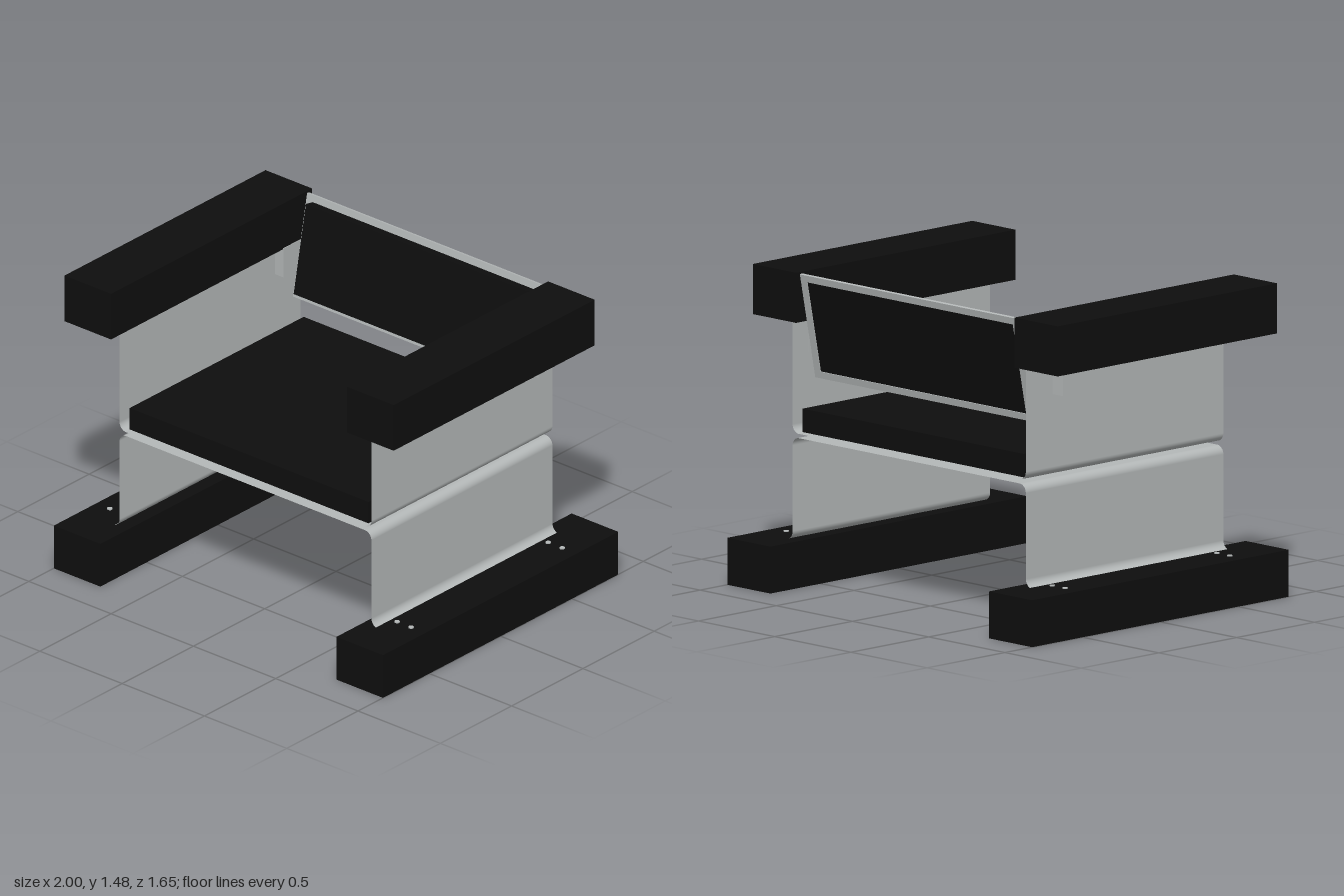
import * as THREE from 'three';

export function createModel() {
  const model = new THREE.Group();
  model.name = 'armchair';
  const black = new THREE.MeshStandardMaterial({ color: 0x0e0e0e });
  black.name = 'black upholstery';
  const steel = new THREE.MeshStandardMaterial({ color: 0xb4b8b8, side: THREE.DoubleSide });
  steel.name = 'brushed steel';

  const add = (name, geometry, material, x = 0, y = 0, z = 0, parent = model) => {
    const mesh = new THREE.Mesh(geometry, material);
    mesh.name = name;
    mesh.position.set(x, y, z);
    parent.add(mesh);
    return mesh;
  };

  // Sheet metal: a profile in x and y swept straight along z
  const sheet = (points, depth) => {
    const g = new THREE.PlaneGeometry(1, 1, points.length - 1, 1);
    const p = g.attributes.position;
    for (let i = 0; i < p.count; i++) {
      const q = points[i % points.length];
      p.setXYZ(i, q.x, q.y, i < points.length ? -depth / 2 : depth / 2);
    }
    g.computeVertexNormals();
    return g;
  };
  const mirrored = (half) => [...half, ...half.map((q) => new THREE.Vector2(-q.x, q.y)).reverse()];

  // Upper bent sheet carries the seat and rises to the arms
  const upper = new THREE.Path();
  upper.moveTo(0.765, 1.26);
  upper.lineTo(0.765, 0.76);
  upper.absarc(0.725, 0.76, 0.04, 0, -Math.PI / 2, true);
  add('upperSheet', sheet(mirrored(upper.getPoints(6)), 1.27), steel);

  // Lower bent sheet forms the legs and flares into flanges on the feet
  const lower = new THREE.Path();
  lower.moveTo(0.95, 0.218);
  lower.lineTo(0.805, 0.218);
  lower.absarc(0.805, 0.258, 0.04, -Math.PI / 2, -Math.PI, true);
  lower.lineTo(0.765, 0.66);
  lower.absarc(0.725, 0.66, 0.04, 0, Math.PI / 2, false);
  add('lowerSheet', sheet(mirrored(lower.getPoints(6)), 1.27), steel);

  // Seat cushion
  add('seat', new THREE.BoxGeometry(1.45, 0.11, 1.22), black, 0, 0.78, 0);

  // Feet, arms, bolts and backrest brackets on both sides
  for (const s of [1, -1]) {
    const side = s > 0 ? 'left' : 'right';
    add(side + 'Foot', new THREE.BoxGeometry(0.283, 0.22, 1.65), black, s * 0.8585, 0.11, 0);
    add(side + 'Arm', new THREE.BoxGeometry(0.283, 0.235, 1.41), black, s * 0.8585, 1.3625, 0.045);
    for (const x of [0.83, 0.915])
      for (const z of [0.53, -0.53])
        add(side + 'Bolt', new THREE.CylinderGeometry(0.013, 0.013, 0.01, 12), steel, s * x, 0.22, z);
    add(side + 'BracketPlate', new THREE.BoxGeometry(0.12, 0.15, 0.006), steel, s * 0.775, 1.175, -0.46);
    add(side + 'BracketArm', new THREE.BoxGeometry(0.004, 0.15, 0.12), steel, s * 0.716, 1.175, -0.52);
  }

  // Tilted backrest: steel frame around a padded panel
  const back = new THREE.Group();
  back.name = 'backrest';
  back.position.set(0, 1.223, -0.58);
  back.rotation.x = -Math.atan2(0.1, 0.5);
  model.add(back);
  const rect = (shape, w, h) => {
    shape.moveTo(-w, -h);
    shape.lineTo(w, -h);
    shape.lineTo(w, h);
    shape.lineTo(-w, h);
    shape.closePath();
    return shape;
  };
  const outline = rect(new THREE.Shape(), 0.715, 0.253);
  outline.holes.push(rect(new THREE.Path(), 0.675, 0.22));
  add('backFrame', new THREE.ExtrudeGeometry(outline, { depth: 0.015, bevelEnabled: false }), steel, 0, 0, -0.008, back);
  add('backPad', new THREE.BoxGeometry(1.35, 0.44, 0.06), black, 0, 0, 0.026, back);

  return model;
}
